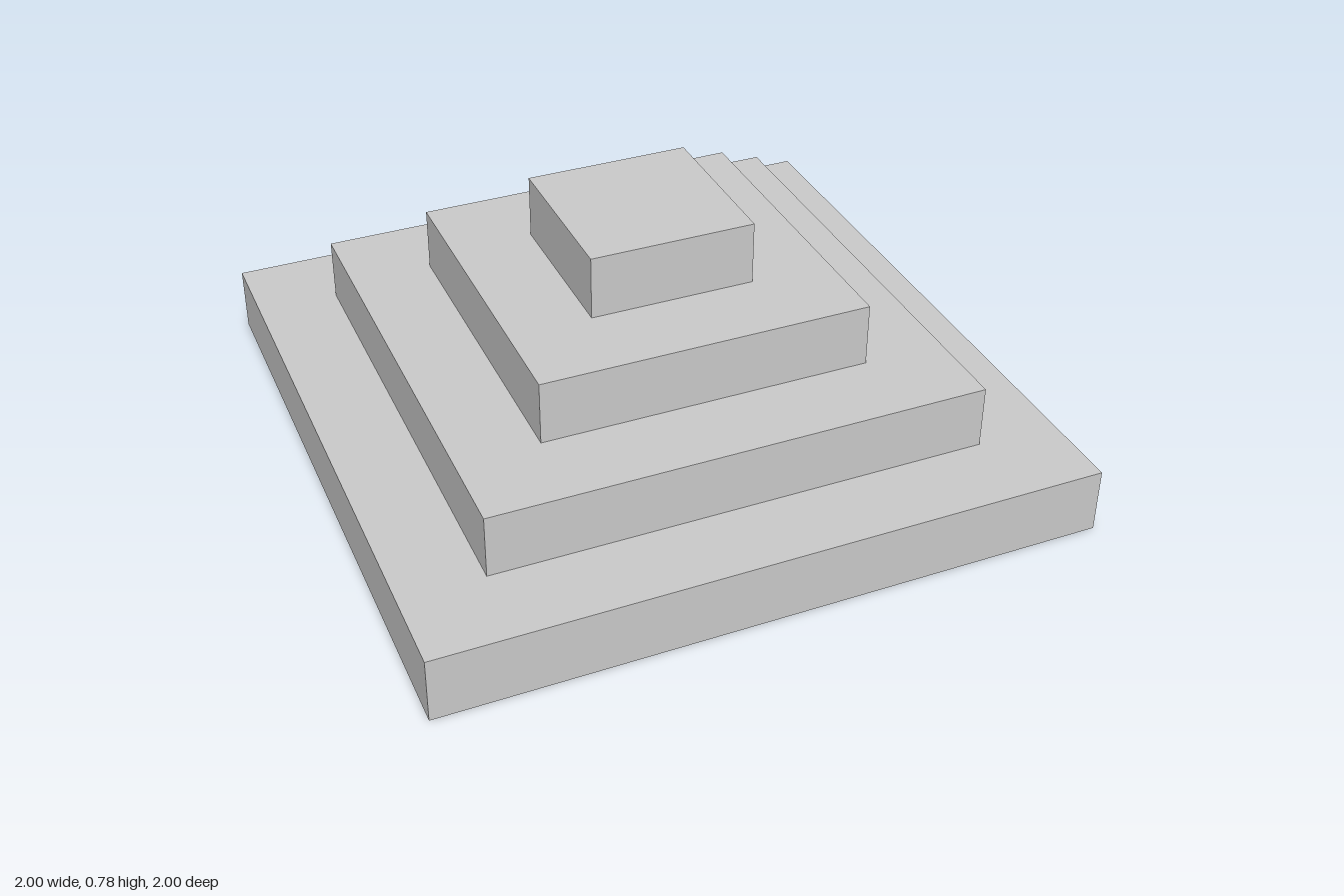
import * as THREE from 'three';

// Stepped pyramid: four square tiers, each sunk slightly into the one below.
export function createModel() {
  const model = new THREE.Group();
  model.name = 'steppedPyramid';
  const material = new THREE.MeshStandardMaterial({ color: 0xcccccc });
  const tierNames = ['baseTier', 'lowerTier', 'upperTier', 'topTier'];
  const height = 0.2;
  const rise = 0.193;

  tierNames.forEach((name, i) => {
    const width = 2 - i * 0.5;
    const tier = new THREE.Mesh(new THREE.BoxGeometry(width, height, width), material);
    tier.name = name;
    tier.position.y = height / 2 + i * rise;
    model.add(tier);
  });

  return model;
}
